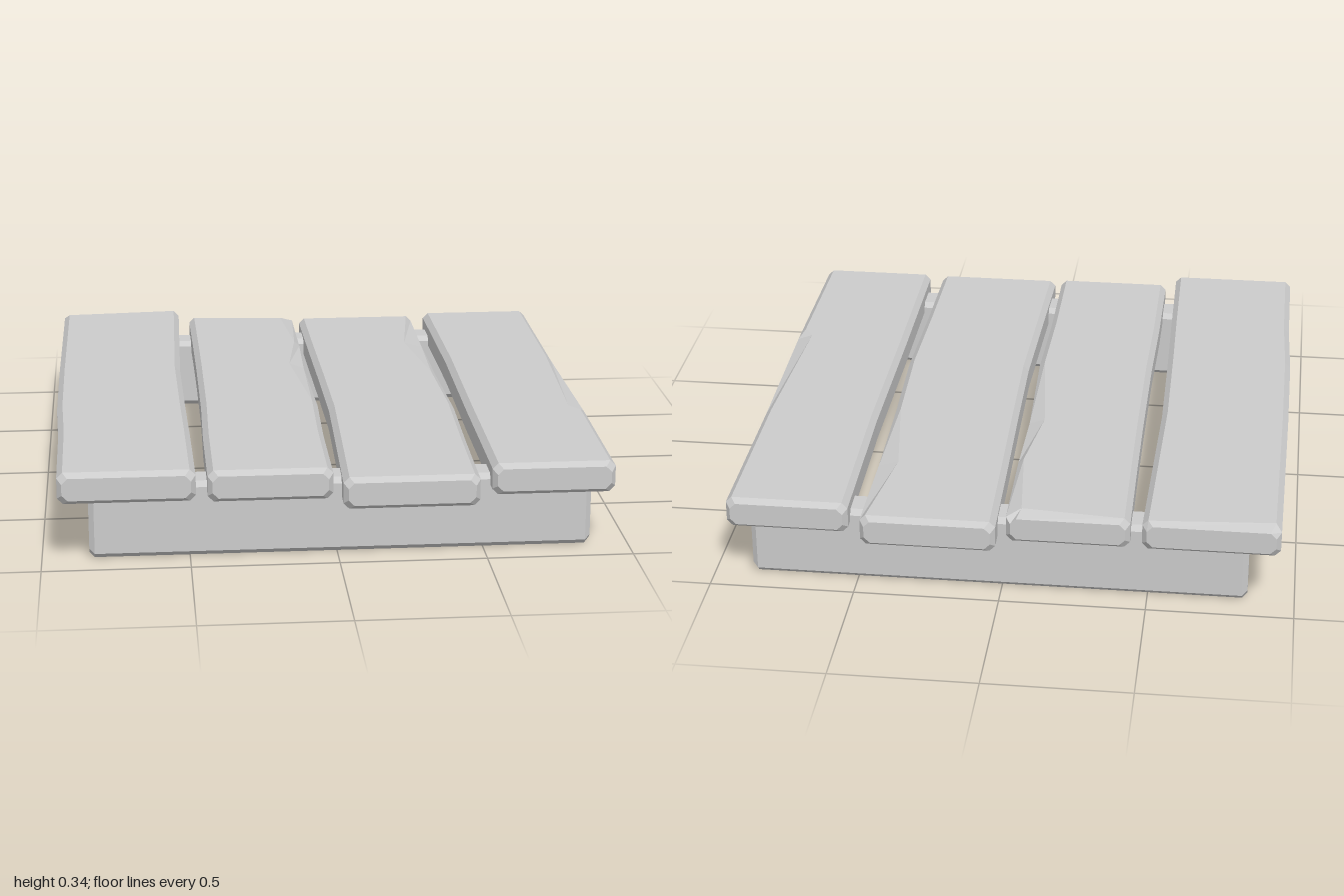
import * as THREE from 'three';

const material = new THREE.MeshStandardMaterial({ color: 0xcccccc, flatShading: true });

// Chamfered bar lofted along z. Each station: [z, left x, right x, left wear, right wear],
// where wear widens the top chamfer. backWear: depth of the top back chamfer at [left, right].
function barGeometry(stations, y0, y1, c, backWear = [c, c]) {
  const ring = (z, x0, x1, lo, hi, wl, wr, zl = z, zr = z) => [
    [x0 + c, lo, z], [x1 - c, lo, z], [x1, lo + c, z], [x1, hi - c, z],
    [x1 - c - wr, hi, zr], [x0 + c + wl, hi, zl], [x0, hi - c, z], [x0, lo + c, z],
  ];
  const endCap = ([z, x0, x1]) => ring(z, x0 + c * 0.8, x1 - c * 0.8, y0 + c * 0.8, y1 - c * 0.8, 0, 0);
  const last = stations.length - 1;
  const rings = [endCap(stations[0])];
  stations.forEach(([z, x0, x1, wl = 0, wr = 0], i) => {
    if (i === 0) rings.push(ring(z + c, x0, x1, y0, y1, wl, wr, z + backWear[0], z + backWear[1]));
    else rings.push(ring(i === last ? z - c : z, x0, x1, y0, y1, wl, wr));
  });
  rings.push(endCap(stations[last]));

  const index = [];
  const n = 8;
  for (let i = 0; i < rings.length - 1; i++) {
    for (let k = 0; k < n; k++) {
      const a = i * n + k, b = i * n + (k + 1) % n;
      index.push(a, b, b + n, a, b + n, a + n);
    }
  }
  const f = (rings.length - 1) * n;
  for (let k = 1; k < n - 1; k++) index.push(0, k + 1, k, f, f + k, f + k + 1);

  const geometry = new THREE.BufferGeometry();
  geometry.setAttribute('position', new THREE.Float32BufferAttribute(rings.flat(2), 3));
  geometry.setIndex(index);
  const flat = geometry.toNonIndexed();
  flat.computeVertexNormals();
  return flat;
}

function addMesh(group, name, geometry) {
  const mesh = new THREE.Mesh(geometry, material);
  mesh.name = name;
  group.add(mesh);
  return mesh;
}

export function createModel() {
  const group = new THREE.Group();
  group.name = 'plankPlatform';

  // Four uneven planks with worn edges, each at its own height
  const planks = [
    { y0: 0.23, y1: 0.34, back: [0.045, 0.015], stations: [
      [-1, -0.945, -0.482], [-0.2, -0.952, -0.498], [0.25, -0.952, -0.492],
      [0.55, -0.942, -0.486], [1, -0.94, -0.48]] },
    { y0: 0.21, y1: 0.32, back: [0.02, 0.05], stations: [
      [-0.965, -0.44, -0.02, 0, 0.03], [-0.57, -0.436, -0.018],
      [-0.27, -0.434, -0.024, 0, 0.035], [0.2, -0.434, -0.01],
      [0.55, -0.44, -0.018], [0.96, -0.44, -0.018]] },
    { y0: 0.185, y1: 0.297, stations: [
      [-1, 0.012, 0.474], [-0.6, 0.018, 0.472, 0, 0.05], [-0.2, 0.026, 0.478],
      [0.2, 0.032, 0.49], [0.6, 0.022, 0.48], [1, 0.012, 0.474]] },
    { y0: 0.207, y1: 0.318, stations: [
      [-0.965, 0.52, 0.94], [-0.3, 0.528, 0.938], [0.33, 0.522, 0.945, 0, 0.035],
      [0.38, 0.522, 0.945], [0.96, 0.52, 0.94]] },
  ];
  planks.forEach(({ y0, y1, back, stations }, i) =>
    addMesh(group, `plank${i + 1}`, barGeometry(stations, y0, y1, 0.02, back)));

  // Two cross beams carrying the planks
  [['frontBeam', 0.837], ['backBeam', -0.843]].forEach(([name, z]) => {
    const geometry = barGeometry([[-0.855, -0.062, 0.062], [0.855, -0.062, 0.062]], 0, 0.265, 0.018);
    const beam = addMesh(group, name, geometry.rotateY(Math.PI / 2));
    beam.position.set(0.015, 0, z);
  });

  return group;
}
